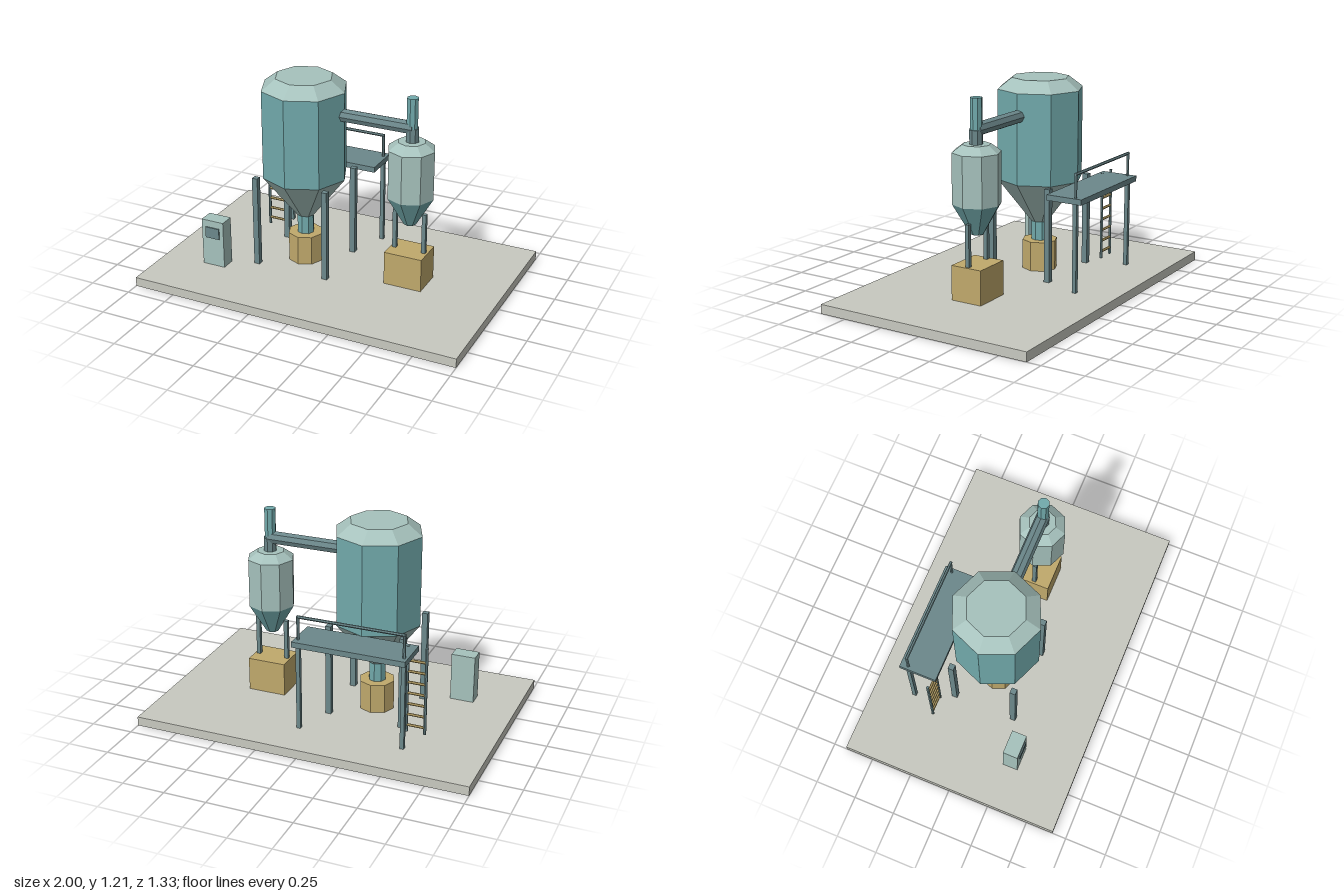
import * as THREE from 'three';

const mat = (name, color) => {
  const m = new THREE.MeshStandardMaterial({ color, flatShading: true });
  m.name = name;
  return m;
};

export function createModel() {
  const teal = mat('teal paint', 0x72aaac);
  const pale = mat('pale green steel', 0xa6c2bd);
  const steel = mat('blue grey steel', 0x6c888b);
  const ochre = mat('ochre paint', 0xc0a96c);
  const concrete = mat('concrete', 0xc8c9c0);

  const root = new THREE.Group();
  root.name = 'processPlant';
  const group = (name) => {
    const g = new THREE.Group();
    g.name = name;
    root.add(g);
    return g;
  };
  const add = (parent, name, geometry, material, x, y, z) => {
    const m = new THREE.Mesh(geometry, material);
    m.name = name;
    m.position.set(x, y, z);
    parent.add(m);
    return m;
  };
  // Box given by its centre in x and z and its bottom and top heights
  const box = (parent, name, material, x, z, w, d, y0, y1) =>
    add(parent, name, new THREE.BoxGeometry(w, y1 - y0, d), material, x, (y0 + y1) / 2, z);
  // Upright faceted cylinder or cone between two heights
  const drum = (parent, name, material, x, z, r0, r1, y0, y1, sides = 8) =>
    add(parent, name, new THREE.CylinderGeometry(r1, r0, y1 - y0, sides), material, x, (y0 + y1) / 2, z);
  // Horizontal bar along x
  const bar = (parent, name, material, x0, x1, y, z, r, sides = 6) => {
    const m = add(parent, name, new THREE.CylinderGeometry(r, r, x1 - x0, sides), material, (x0 + x1) / 2, y, z);
    m.rotation.z = Math.PI / 2;
    return m;
  };

  const floor = 0.055;
  box(root, 'slab', concrete, 0, 0, 2, 1.333, 0, floor);

  // Large silo with hopper, outlet and collecting drum
  const silo = group('silo');
  const sx = -0.225;
  drum(silo, 'siloBody', teal, sx, 0, 0.255, 0.255, 0.61, 1.145);
  drum(silo, 'siloRoof', pale, sx, 0, 0.255, 0.17, 1.145, 1.21);
  drum(silo, 'siloHopper', pale, sx, 0, 0.052, 0.255, 0.345, 0.61);
  drum(silo, 'siloOutlet', teal, sx, 0, 0.05, 0.05, 0.22, 0.345);
  drum(silo, 'collectingDrum', ochre, sx, 0, 0.105, 0.105, floor, 0.232);
  for (const x of [-1, 1])
    for (const z of [-1, 1])
      box(silo, 'siloLeg', steel, sx + x * 0.223, z * 0.19, 0.034, 0.034, floor, 0.61);

  // Cyclone separator standing over its bin
  const cyclone = group('cyclone');
  const cx = 0.443;
  drum(cyclone, 'cycloneBody', pale, cx, 0, 0.139, 0.139, 0.6, 0.89);
  drum(cyclone, 'cycloneRoof', pale, cx, 0, 0.139, 0.08, 0.89, 0.933);
  drum(cyclone, 'cycloneCone', teal, cx, 0, 0.037, 0.139, 0.425, 0.6);
  drum(cyclone, 'exhaustStack', teal, cx, 0, 0.034, 0.034, 0.96, 1.19);
  box(cyclone, 'wasteBin', ochre, cx, 0, 0.23, 0.193, floor, 0.257);
  for (const x of [-1, 1])
    box(cyclone, 'cycloneLeg', steel, cx + x * 0.09, 0, 0.024, 0.024, 0.25, 0.5);

  // Duct from silo to cyclone
  const duct = group('duct');
  bar(duct, 'ductRun', steel, -0.02, cx + 0.01, 1.013, 0, 0.039, 8);
  drum(duct, 'ductDrop', steel, cx + 0.003, 0, 0.038, 0.038, 0.92, 1.013);

  // Service platform with handrail
  const platform = group('platform');
  box(platform, 'deck', steel, sx, -0.355, 0.666, 0.224, 0.575, 0.608);
  for (const x of [-1, 1]) {
    box(platform, 'platformLeg', steel, sx + x * 0.311, -0.42, 0.024, 0.024, floor, 0.58);
    drum(platform, 'railPost', steel, sx + x * 0.311, -0.42, 0.009, 0.009, 0.6, 0.745, 6);
  }
  bar(platform, 'handrail', steel, sx - 0.318, sx + 0.318, 0.743, -0.42, 0.009);

  // Ladder
  const ladder = group('ladder');
  for (const x of [-0.613, -0.504])
    drum(ladder, 'ladderStile', steel, x, -0.267, 0.009, 0.009, 0.078, 0.61, 6);
  for (let i = 0; i < 7; i++)
    bar(ladder, 'rung', ochre, -0.613, -0.504, 0.12 + i * 0.067, -0.267, 0.008);

  // Control cabinet with a thin display plate
  const cabinet = group('controlCabinet');
  box(cabinet, 'cabinetBody', pale, -0.668, 0.289, 0.142, 0.09, floor, 0.345);
  box(cabinet, 'display', steel, -0.668, 0.337, 0.09, 0.008, 0.234, 0.302);

  return root;
}
